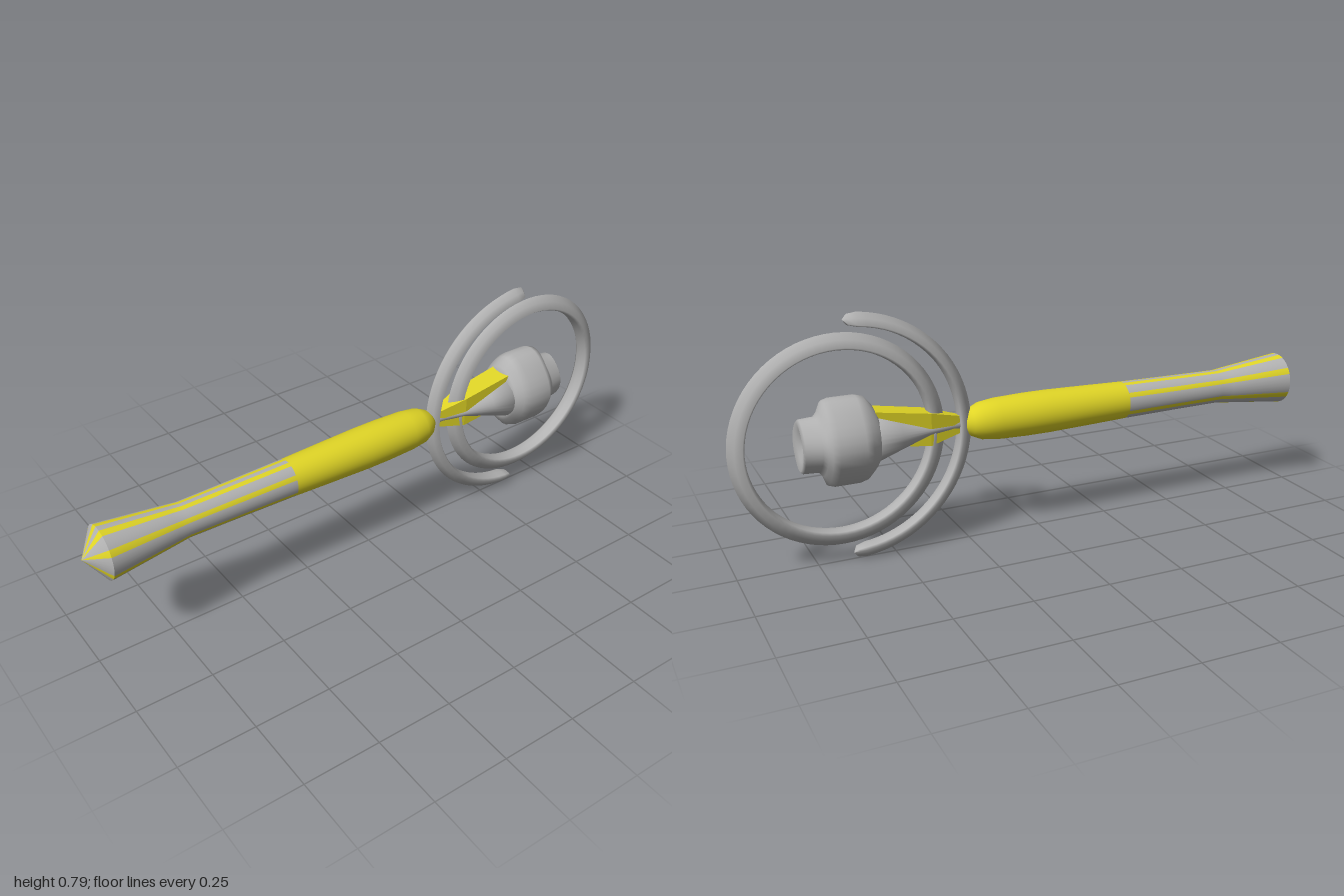
import * as THREE from 'three';

const AXIS_Y = 0.395;
const rad = THREE.MathUtils.degToRad;

// Skin a closed surface over a list of cross-sections (arrays of [x, y, z])
function loft(sections, flat = false) {
  const n = sections[0].length;
  const index = [];
  for (let i = 0; i < sections.length - 1; i++) {
    for (let j = 0; j < n; j++) {
      const k = (j + 1) % n;
      const a = i * n + j, b = i * n + k, c = a + n, d = b + n;
      index.push(a, b, d, a, d, c);
    }
  }
  let geo = new THREE.BufferGeometry();
  geo.setAttribute('position', new THREE.Float32BufferAttribute(sections.flat(2), 3));
  geo.setIndex(index);
  if (flat) geo = geo.toNonIndexed();
  geo.computeVertexNormals();
  return geo;
}

// Oval cross-section across the long axis; lobe squares or bulges it
function oval(z, rx, ry, lobe = 0) {
  return Array.from({ length: 32 }, (_, i) => {
    const t = (i / 32) * Math.PI * 2;
    const s = 1 + lobe * Math.cos(4 * t);
    return [rx * s * Math.cos(t), AXIS_Y + ry * s * Math.sin(t), z];
  });
}

// Rectangular cross-section for the neck fins
function slab(z, y0, y1, w) {
  return [[-w, y0, z], [w, y0, z], [w, y1, z], [-w, y1, z]];
}

// Hoop cross-section: a ridge outside and a broad rounded inner side
function hoopSection(angle, centreZ, outer, depth, scale = 1) {
  const mid = outer - depth * 0.5;
  return [[0.5, 0], [0.12, 0.018], [-0.3, 0.032], [-0.44, 0.022], [-0.5, 0],
    [-0.44, -0.022], [-0.3, -0.032], [0.12, -0.018]].map(([r, x]) => {
    const radius = mid + r * depth * scale;
    return [x * scale, AXIS_Y + radius * Math.sin(angle), centreZ + radius * Math.cos(angle)];
  });
}

// Turned piece along z from [radius, z] points, in order of rising z
function turned(points, start = 0, length = Math.PI * 2, segments = 48) {
  const profile = points.map(([r, z]) => new THREE.Vector2(r, z));
  return new THREE.LatheGeometry(profile, segments, start, length)
    .rotateX(Math.PI / 2).translate(0, AXIS_Y, 0);
}

export function createModel() {
  const model = new THREE.Group();
  const silver = new THREE.MeshStandardMaterial({ name: 'silver', color: 0xb2b2b2 });
  const yellow = new THREE.MeshStandardMaterial({ name: 'yellow', color: 0xe0d526 });
  const add = (name, geometry, material, parent = model) => {
    const mesh = new THREE.Mesh(geometry, material);
    mesh.name = name;
    parent.add(mesh);
  };

  // Yellow grip
  add('grip', turned([[0, -0.262], [0.022, -0.26], [0.045, -0.238], [0.06, -0.205],
    [0.067, -0.15], [0.07, -0.05], [0.07, 0.03], [0.066, 0.18], [0.062, 0.31]]), yellow);

  // Striped shaft and pommel, alternating wedges around the axis
  const handle = new THREE.Group();
  handle.name = 'stripedHandle';
  model.add(handle);
  const stripes = [15, 60, 120, 165, 195, 240, 300, 345];
  const shaft = [[0.062, 0.31], [0.059, 0.5], [0.057, 0.68], [0.062, 0.72], [0.087, 0.94]];
  const cone = [[0.087, 0.94], [0, 1]];
  stripes.forEach((centre, i) => {
    const next = i < 7 ? stripes[i + 1] : stripes[0] + 360;
    const wedges = [
      ['Stripe', centre - 7.5, centre + 7.5, yellow],
      ['Panel', centre + 7.5, next - 7.5, silver],
    ];
    for (const [label, from, to, material] of wedges) {
      const start = rad(from), length = rad(to - from);
      add('shaft' + label, turned(shaft, start, length, 5), material, handle);
      add('pommel' + label, turned(cone, start, length, 5), material, handle);
    }
  });

  // Full hoop around the head
  const ring = [];
  for (let i = 0; i <= 72; i++) ring.push(hoopSection((i / 72) * Math.PI * 2, -0.663, 0.337, 0.052));
  add('fullHoop', loft(ring), silver);

  // Open half hoop with pointed ends
  const arc = [hoopSection(rad(-91), -0.63, 0.395, 0.044, 0)];
  for (let i = 0; i <= 40; i++) {
    const scale = i === 0 || i === 40 ? 0.75 : 1;
    arc.push(hoopSection(rad(-89 + i * 4.45), -0.63, 0.395, 0.044, scale));
  }
  arc.push(hoopSection(rad(91), -0.63, 0.395, 0.044, 0));
  add('halfHoop', loft(arc), silver);

  // Flared neck
  add('neck', loft([oval(-0.58, 0, 0), oval(-0.575, 0.09, 0.087), oval(-0.48, 0.067, 0.053),
    oval(-0.38, 0.038, 0.02), oval(-0.3, 0.018, 0.018), oval(-0.24, 0.01, 0.02),
    oval(-0.24, 0, 0)]), silver);

  // Yellow fins above and below the neck
  add('upperFin', loft([slab(-0.57, 0.47, 0.47, 0), slab(-0.57, 0.455, 0.485, 0.04),
    slab(-0.38, 0.403, 0.453, 0.036), slab(-0.26, 0.395, 0.42, 0.009),
    slab(-0.26, 0.405, 0.405, 0)], true), yellow);
  add('lowerFin', loft([slab(-0.45, 0.37, 0.37, 0), slab(-0.45, 0.356, 0.38, 0.032),
    slab(-0.38, 0.346, 0.385, 0.03), slab(-0.26, 0.372, 0.395, 0.009),
    slab(-0.26, 0.385, 0.385, 0)], true), yellow);

  // Lobed head with a stepped, dimpled back
  add('head', loft([oval(-0.77, 0, 0), oval(-0.782, 0.04, 0.05), oval(-0.79, 0.062, 0.074, 0.03),
    oval(-0.783, 0.07, 0.082, 0.03), oval(-0.735, 0.082, 0.084, 0.03),
    oval(-0.722, 0.09, 0.098, 0.04), oval(-0.71, 0.1, 0.128, 0.04), oval(-0.69, 0.113, 0.134, 0.04),
    oval(-0.61, 0.114, 0.134, 0.04), oval(-0.585, 0.1, 0.128, 0.04),
    oval(-0.56, 0.088, 0.1, 0.03), oval(-0.55, 0.075, 0.08), oval(-0.55, 0, 0)]), silver);

  return model;
}
